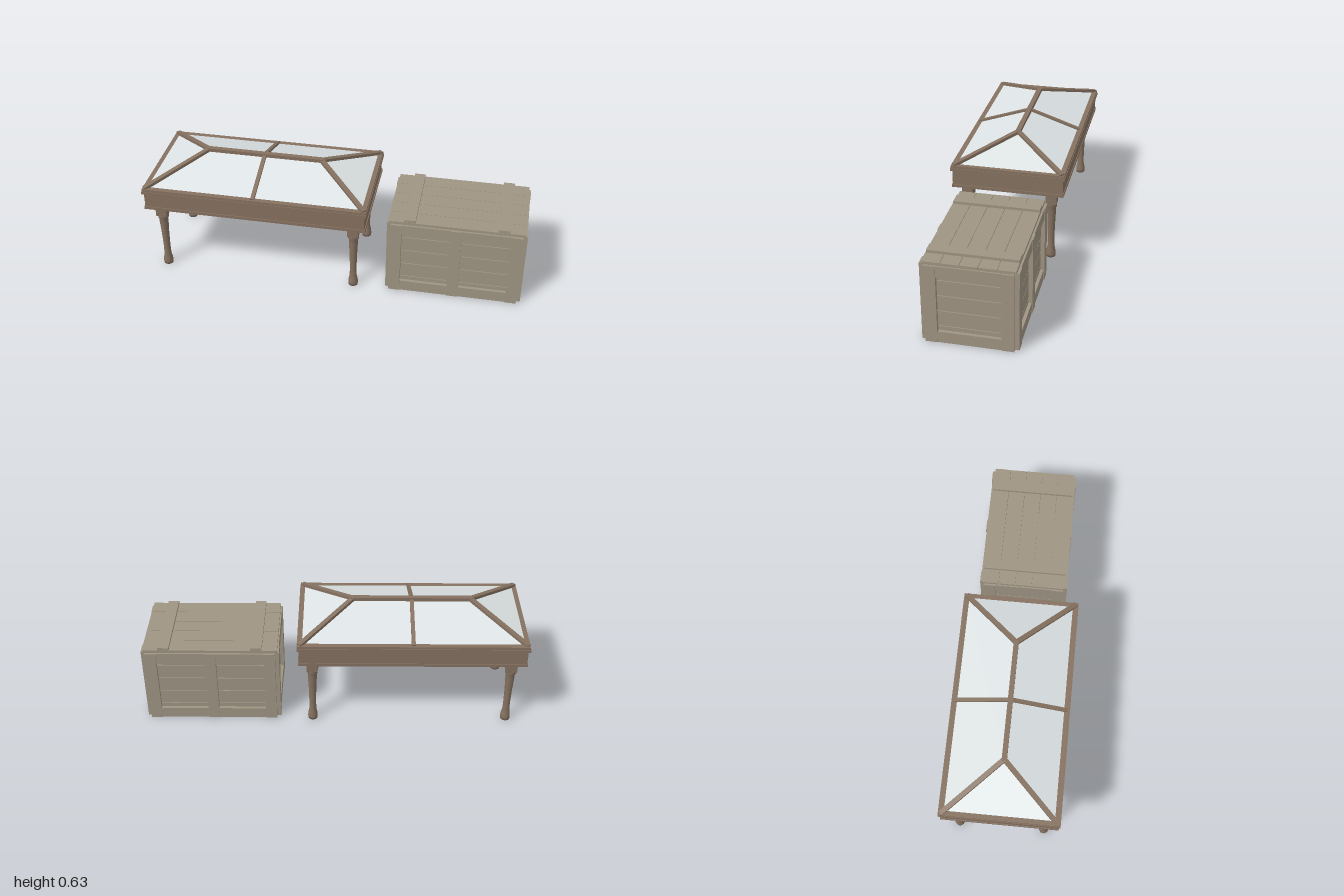
import * as THREE from 'three';

const wood = new THREE.MeshStandardMaterial({ color: 0x857160 });
const crateWood = new THREE.MeshStandardMaterial({ color: 0x9e9482 });
const glass = new THREE.MeshStandardMaterial({ color: 0xdde3e4, side: THREE.DoubleSide });
const lining = new THREE.MeshStandardMaterial({ color: 0x858585 });

function add(parent, name, geometry, material) {
  const mesh = new THREE.Mesh(geometry, material);
  mesh.name = name;
  parent.add(mesh);
  return mesh;
}

// Box given by its lower and upper limits on each axis
function box(parent, name, material, x0, x1, y0, y1, z0, z1) {
  const g = new THREE.BoxGeometry(x1 - x0, y1 - y0, z1 - z0);
  g.translate((x0 + x1) / 2, (y0 + y1) / 2, (z0 + z1) / 2);
  return add(parent, name, g, material);
}

// Rectangular frame lying flat: half sizes, rim width, lower and upper height
function ring(parent, name, hx, hz, rim, y0, y1) {
  const rect = (s, a, b) => s.moveTo(-a, -b).lineTo(a, -b).lineTo(a, b).lineTo(-a, b).closePath();
  const shape = rect(new THREE.Shape(), hx, hz);
  shape.holes.push(rect(new THREE.Path(), hx - rim, hz - rim));
  const g = new THREE.ExtrudeGeometry(shape, { depth: y1 - y0, bevelEnabled: false });
  g.rotateX(-Math.PI / 2).translate(0, y0, 0);
  return add(parent, name, g, wood);
}

// Straight bar between two points
function bar(parent, name, a, b, width, height) {
  const from = new THREE.Vector3(...a), to = new THREE.Vector3(...b);
  const mesh = new THREE.Mesh(new THREE.BoxGeometry(width, height, from.distanceTo(to)), wood);
  mesh.name = name;
  mesh.position.copy(from).lerp(to, 0.5);
  mesh.lookAt(to);
  parent.add(mesh);
}

function pane(parent, name, points) {
  const g = new THREE.BufferGeometry();
  g.setAttribute('position', new THREE.Float32BufferAttribute(points.flat(), 3));
  g.setIndex(points.length === 4 ? [0, 1, 2, 0, 2, 3] : [0, 1, 2]);
  g.computeVertexNormals();
  add(parent, name, g, glass);
}

function createTable() {
  const table = new THREE.Group();
  table.name = 'displayTable';

  // Apron with its mouldings and the bed inside
  ring(table, 'apron', 0.583, 0.293, 0.025, 0.4, 0.495);
  ring(table, 'lowerMoulding', 0.588, 0.297, 0.03, 0.395, 0.411);
  ring(table, 'upperMoulding', 0.593, 0.303, 0.03, 0.491, 0.506);
  ring(table, 'glazingFrame', 0.59, 0.3, 0.03, 0.506, 0.52);
  box(table, 'bed', lining, -0.57, 0.57, 0.47, 0.48, -0.28, 0.28);

  // Turned legs with square blocks
  const profile = [[0, 0], [0.025, 0], [0.026, 0.015], [0.024, 0.035], [0.019, 0.06], [0.018, 0.11],
    [0.02, 0.2], [0.024, 0.28], [0.023, 0.295], [0.028, 0.305], [0.029, 0.325], [0.026, 0.335]]
    .map(([r, y]) => new THREE.Vector2(r, y));
  for (const sx of [-1, 1]) for (const sz of [-1, 1]) {
    const leg = new THREE.Group();
    leg.name = 'leg';
    leg.position.set(sx * 0.517, 0, sz * 0.225);
    add(leg, 'turnedLeg', new THREE.LatheGeometry(profile, 20), wood);
    box(leg, 'legBlock', wood, -0.029, 0.029, 0.325, 0.472, -0.029, 0.029);
    table.add(leg);
  }

  // Hipped glass cover
  const X = 0.58, Z = 0.288, R = 0.305, y0 = 0.515, y1 = 0.612;
  for (const s of [-1, 1]) {
    pane(table, 'longPane', [[-s * X, y0, s * Z], [s * X, y0, s * Z], [s * R, y1, 0], [-s * R, y1, 0]]);
    pane(table, 'endPane', [[s * X, y0, s * Z], [s * X, y0, -s * Z], [s * R, y1, 0]]);
    bar(table, 'middleRafter', [0, y0 + 0.003, s * Z], [0, y1 + 0.003, 0], 0.02, 0.018);
    for (const t of [-1, 1])
      bar(table, 'hipRafter', [s * X, y0 + 0.003, t * Z], [s * R, y1 + 0.003, 0], 0.025, 0.02);
  }
  box(table, 'ridge', wood, -R - 0.008, R + 0.008, 0.604, 0.627, -0.013, 0.013);
  return table;
}

function createCrate() {
  const crate = new THREE.Group();
  crate.name = 'crate';
  const H = 0.42, gap = 0.0018, step = H / 5;

  // Mirrored walls: recessed planks behind a frame of stiles and rails
  for (const s of [-1, 1]) {
    const end = (name, a, b, y0, y1, z0, z1) =>
      box(crate, name, crateWood, Math.min(s * a, s * b), Math.max(s * a, s * b), y0, y1, z0, z1);
    const side = (name, x0, x1, y0, y1, a, b) =>
      box(crate, name, crateWood, x0, x1, y0, y1, Math.min(s * a, s * b), Math.max(s * a, s * b));
    for (let i = 0; i < 5; i++) {
      const a = i * step + (i ? gap : 0), b = (i + 1) * step - (i < 4 ? gap : 0);
      end('endPlank', 0.322, 0.338, a, b, -0.215, 0.215);
      side('sidePlank', -0.322, 0.322, a, b, 0.199, 0.215);
    }
    for (const t of [-1, 1]) {
      end('endStile', 0.338, 0.358, 0, H, t < 0 ? -0.215 : 0.155, t < 0 ? -0.155 : 0.215);
      side('sideStile', t < 0 ? -0.338 : 0.28, t < 0 ? -0.28 : 0.338, 0, H, 0.215, 0.236);
      // Nail heads along the corners
      for (let i = 1; i < 5; i++) {
        const nail = add(crate, 'nail', new THREE.CylinderGeometry(0.003, 0.003, 0.004, 8), crateWood);
        nail.rotation.z = Math.PI / 2;
        nail.position.set(s * 0.339, i * step, t * 0.218);
      }
    }
    side('middleStile', -0.029, 0.029, 0, H, 0.215, 0.236);
    for (const [a, b] of [[0, 0.06], [0.36, H]]) {
      end('endRail', 0.338, 0.355, a, b, -0.155, 0.155);
      side('sideRail', -0.28, -0.029, a, b, 0.215, 0.232);
      side('sideRail', 0.029, 0.28, a, b, 0.215, 0.232);
    }
    // Battens across the lid
    box(crate, 'lidBatten', crateWood, s * 0.24 - 0.029, s * 0.24 + 0.029, 0.435, 0.449, -0.221, 0.221);
  }

  // Planked lid and floor
  for (let i = 0; i < 5; i++) {
    const z0 = -0.223 + i * 0.0892;
    box(crate, 'lidPlank', crateWood, -0.348, 0.348, 0.42, 0.435, z0 + 0.001, z0 + 0.0882);
    const f0 = -0.199 + i * 0.0796;
    box(crate, 'floorPlank', crateWood, -0.322, 0.322, 0.001, 0.016, f0 + 0.001, f0 + 0.0786);
  }
  return crate;
}

export function createModel() {
  const model = new THREE.Group();
  model.name = 'tableAndCrate';
  const table = createTable();
  table.position.x = -0.407;
  const crate = createCrate();
  crate.position.x = 0.64;
  model.add(table, crate);
  return model;
}
